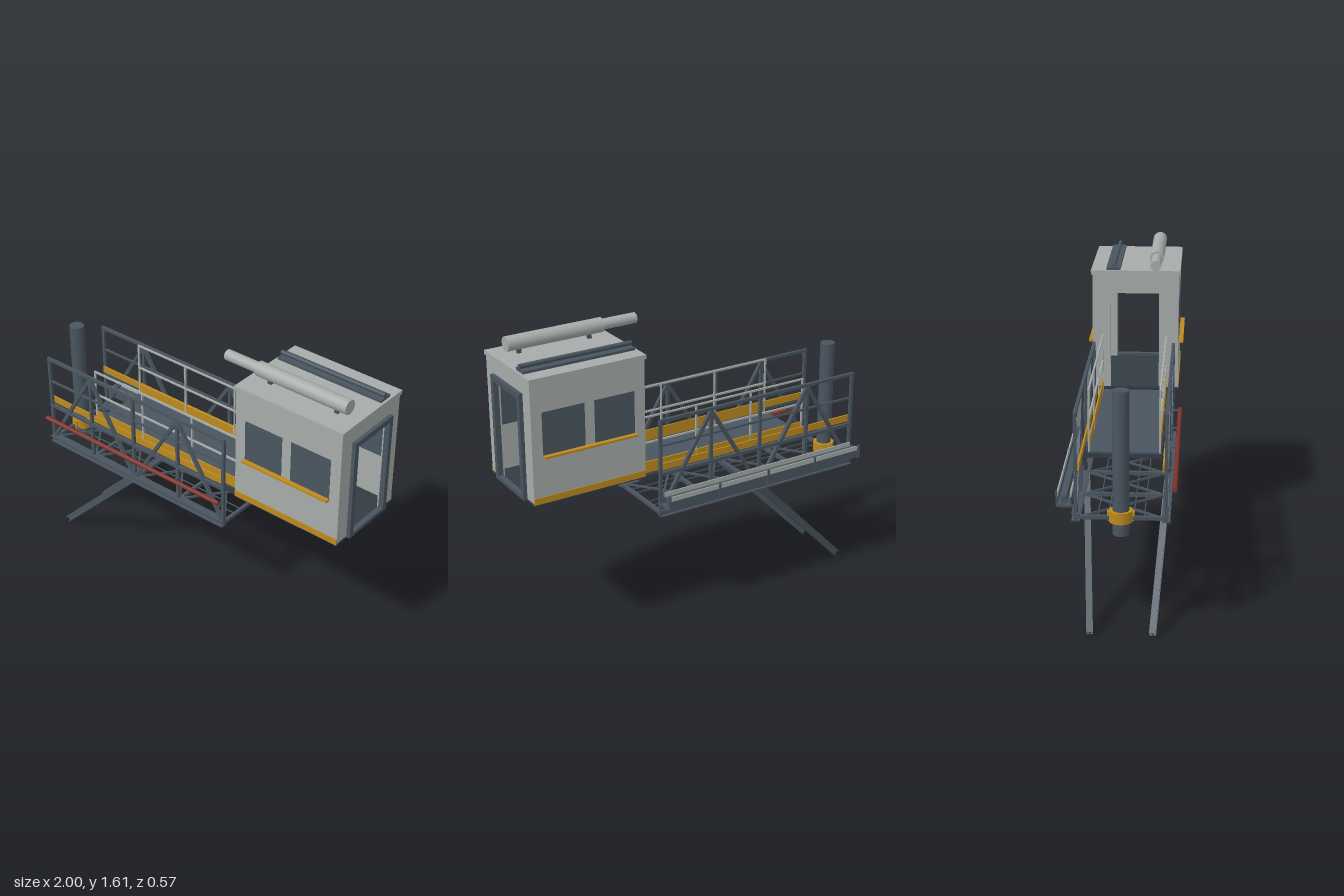
import * as THREE from 'three';

const mat = (name, color) => Object.assign(new THREE.MeshStandardMaterial({ color }), { name });

export function createModel() {
  const slate = mat('slate steel', 0x4a5560);
  const grey = mat('light grey paint', 0xa6acaa);
  const yellow = mat('safety yellow', 0xbd8a20);
  const red = mat('pipe red', 0x7c332c);
  const dark = mat('dark steel', 0x343c44);
  const root = new THREE.Group();
  root.name = 'accessBridge';
  const ZC = 0.02; // centre line of the bridge

  const group = (name) => {
    const g = new THREE.Group();
    g.name = name;
    root.add(g);
    return g;
  };
  const add = (parent, name, geo, m) => {
    const mesh = new THREE.Mesh(geo, m);
    mesh.name = name;
    parent.add(mesh);
    return mesh;
  };
  // box given by its limits
  const box = (p, name, m, x0, x1, y0, y1, z0, z1) => {
    const b = add(p, name, new THREE.BoxGeometry(x1 - x0, y1 - y0, z1 - z0), m);
    b.position.set((x0 + x1) / 2, (y0 + y1) / 2, (z0 + z1) / 2);
    return b;
  };
  // square bar between two points
  const bar = (p, name, m, a, b, w, d = w) => {
    const A = new THREE.Vector3(...a), B = new THREE.Vector3(...b);
    const mesh = add(p, name, new THREE.BoxGeometry(w, d, A.distanceTo(B)), m);
    mesh.position.copy(A).add(B).multiplyScalar(0.5);
    mesh.lookAt(B);
    return mesh;
  };
  // cylinder along x or y
  const rod = (p, name, m, r, len, x, y, z, alongX) => {
    const c = add(p, name, new THREE.CylinderGeometry(r, r, len, 20), m);
    if (alongX) c.rotation.z = Math.PI / 2;
    c.position.set(x, y, z);
    return c;
  };

  // Outer truss: two side frames with posts, diagonals and rails
  const posts = [-0.95, -0.652, -0.35, -0.045, 0.26];
  const truss = group('outerTruss');
  for (const s of [-1, 1]) {
    const z = ZC + s * 0.213;
    box(truss, 'bottomChord', slate, -0.96, 0.265, 0.605, 0.612, z - 0.02, z + 0.02);
    box(truss, 'bottomChordWeb', slate, -0.96, 0.265, 0.605, 0.643, z - 0.007, z + 0.007);
    box(truss, 'bottomChordTop', slate, -0.96, 0.265, 0.636, 0.643, z - 0.02, z + 0.02);
    bar(truss, 'deckChord', slate, [-0.96, 0.842, z], [0.265, 0.842, z], 0.018);
    bar(truss, 'topRail', slate, [-0.96, 1.135, z], [0.265, 1.135, z], 0.016);
    bar(truss, 'midRail', slate, [-0.96, 0.998, z], [0.265, 0.998, z], 0.01);
    const zt = z - s * 0.014;
    box(truss, 'outerToeBoard', yellow, -0.95, 0.26, 0.855, 0.893, zt - 0.004, zt + 0.004);
    posts.forEach((x, i) => {
      bar(truss, 'post', slate, [x, 0.605, z], [x, 1.135, z], 0.016);
      if (i < 4) {
        const up = i % 2 === 0;
        bar(truss, 'diagonal', slate, [x, up ? 0.63 : 1.125, z],
          [posts[i + 1], up ? 1.125 : 0.63, z], 0.018);
      }
    });
  }

  // Floor bracing between the side frames
  const bracing = group('floorBracing');
  posts.forEach((x, i) => {
    bar(bracing, 'crossBeam', slate, [x, 0.625, ZC - 0.21], [x, 0.625, ZC + 0.21], 0.018);
    if (i === 4) return;
    for (const s of [-1, 1])
      bar(bracing, 'crossBrace', slate, [x, 0.625, ZC - s * 0.2], [posts[i + 1], 0.625, ZC + s * 0.2], 0.01);
  });
  for (const z of [-0.11, -0.06, 0.06, 0.11])
    bar(bracing, 'longRod', slate, [-0.95, 0.62, ZC + z], [0.26, 0.62, ZC + z], 0.005);

  // Inner sliding walkway with deck, joists, toe boards and handrails
  const walkway = group('innerWalkway');
  box(walkway, 'deck', slate, -0.655, 0.36, 0.838, 0.848, ZC - 0.17, ZC + 0.17);
  for (let i = 0; i < 7; i++) {
    const x = -0.645 + i * 0.165;
    box(walkway, 'joist', dark, x - 0.008, x + 0.008, 0.815, 0.838, ZC - 0.17, ZC + 0.17);
  }
  for (const s of [-1, 1]) {
    const z = ZC + s * 0.172;
    box(walkway, 'sideBeam', dark, -0.655, 0.36, 0.812, 0.84, z - 0.012, z + 0.012);
    box(walkway, 'innerToeBoard', yellow, -0.65, 0.355, 0.85, 0.91, z - 0.004, z + 0.004);
    for (const y of [1.155, 1.015])
      bar(walkway, 'handrail', grey, [-0.655, y, z], [0.36, y, z], 0.009);
    for (const x of [-0.65, -0.318, 0.02, 0.345])
      bar(walkway, 'handrailPost', grey, [x, 0.84, z], [x, 1.155, z], 0.009);
  }

  // Cable tray behind and pipe in front
  const tray = group('cableTray');
  box(tray, 'trayFloor', slate, -0.96, 0.265, 0.68, 0.688, -0.28, -0.212);
  for (const z of [-0.28, -0.216]) {
    box(tray, 'trayWall', slate, -0.96, 0.265, 0.68, 0.72, z - 0.003, z + 0.003);
    box(tray, 'trayLip', grey, -0.94, 0.25, 0.72, 0.745, z - 0.003, z + 0.003);
  }
  box(tray, 'cables', slate, -0.95, 0.255, 0.69, 0.73, -0.262, -0.235);
  for (const x of posts) {
    box(tray, 'trayBracket', slate, x - 0.008, x + 0.008, 0.674, 0.682, -0.285, -0.19);
    box(tray, 'trayStrap', slate, x - 0.006, x + 0.006, 0.68, 0.752, -0.287, -0.28);
  }
  const pipe = group('servicePipe');
  rod(pipe, 'pipe', red, 0.012, 1.22, -0.35, 0.772, 0.273, true);
  for (const x of posts) bar(pipe, 'pipeBracket', slate, [x, 0.766, 0.235], [x, 0.766, 0.27], 0.008);

  // Mast and its collar
  const mast = group('mast');
  rod(mast, 'mastTube', slate, 0.04, 0.71, -0.943, 0.895, ZC, false);
  rod(mast, 'collar', yellow, 0.057, 0.056, -0.943, 0.634, ZC, false);
  box(mast, 'collarLug', yellow, -0.958, -0.928, 0.612, 0.656, ZC - 0.065, ZC + 0.065);

  // Slanted support legs with an I section
  const legs = group('supportLegs');
  for (const s of [-1, 1]) {
    const leg = new THREE.Group();
    leg.name = 'leg';
    const A = new THREE.Vector3(-0.355, 0.622, ZC + s * 0.207);
    const B = new THREE.Vector3(-0.947, 0.018, ZC + s * 0.152);
    const len = A.distanceTo(B);
    for (const o of [-0.015, 0.015])
      add(leg, 'flange', new THREE.BoxGeometry(0.032, 0.006, len), slate).position.y = o;
    add(leg, 'web', new THREE.BoxGeometry(0.007, 0.03, len), slate);
    leg.position.copy(A).add(B).multiplyScalar(0.5);
    leg.lookAt(B);
    legs.add(leg);
  }

  // Cabin shell with a doorway at each end
  const cabin = group('cabin');
  const X0 = 0.355, X1 = 0.98, Z0 = -0.207, Z1 = 0.257, T = 0.018;
  box(cabin, 'floor', dark, X0, X1, 0.855, 0.868, Z0, Z1);
  box(cabin, 'roof', grey, X0 - 0.006, X1 + 0.006, 1.493, 1.515, Z0 - 0.008, Z1 + 0.008);
  const endShape = new THREE.Shape();
  endShape.moveTo(Z0, 0.868).lineTo(-0.11, 0.868).lineTo(-0.11, 1.39).lineTo(0.152, 1.39);
  endShape.lineTo(0.152, 0.868).lineTo(Z1, 0.868).lineTo(Z1, 1.495).lineTo(Z0, 1.495).closePath();
  for (const x of [X0, X1 - T]) {
    const wall = add(cabin, 'endWall', new THREE.ExtrudeGeometry(endShape, { depth: T, bevelEnabled: false }), grey);
    wall.rotation.y = -Math.PI / 2;
    wall.position.x = x + T;
  }
  for (const [z, s] of [[Z0, -1], [Z1, 1]]) {
    const zi = z - s * T, lo = Math.min(z, zi), hi = Math.max(z, zi);
    box(cabin, 'sideWall', grey, X0 + T, X1 - T, 0.868, 1.495, lo, hi);
    for (const [a, b] of [[0.415, 0.638], [0.692, 0.922]])
      box(cabin, 'window', slate, a, b, 1.112, 1.337, lo - 0.002, hi + 0.002);
    box(cabin, 'windowLedge', yellow, 0.41, 0.925, 1.103, 1.114, z + s * 0.012 - 0.014, z + s * 0.012 + 0.014);
    box(cabin, 'yellowBand', yellow, X0, X1, 0.862, 0.896, z - 0.004, z + 0.004);
  }

  // Door frame on the far end
  const frame = group('doorFrame');
  box(frame, 'jamb', slate, 0.972, 1.0, 0.862, 1.42, -0.132, -0.105);
  box(frame, 'jamb', slate, 0.972, 1.0, 0.862, 1.42, 0.148, 0.177);
  box(frame, 'lintel', slate, 0.972, 1.0, 1.39, 1.42, -0.105, 0.148);
  box(frame, 'sill', slate, 0.972, 1.0, 0.862, 0.882, -0.105, 0.148);

  // Roof equipment: telescoping tube and rail
  const roofGear = group('roofEquipment');
  rod(roofGear, 'largeTube', grey, 0.038, 0.53, 0.665, 1.573, 0.138, true);
  rod(roofGear, 'smallTube', grey, 0.028, 0.2, 0.305, 1.573, 0.138, true);
  for (const x of [0.47, 0.86]) box(roofGear, 'tubeStand', slate, x - 0.01, x + 0.01, 1.51, 1.55, 0.128, 0.148);
  box(roofGear, 'railBase', slate, 0.362, 0.972, 1.513, 1.528, -0.132, -0.057);
  box(roofGear, 'railWeb', slate, 0.362, 0.972, 1.525, 1.54, -0.094, -0.086);
  rod(roofGear, 'railHead', slate, 0.011, 0.61, 0.667, 1.542, -0.09, true);
  return root;
}
